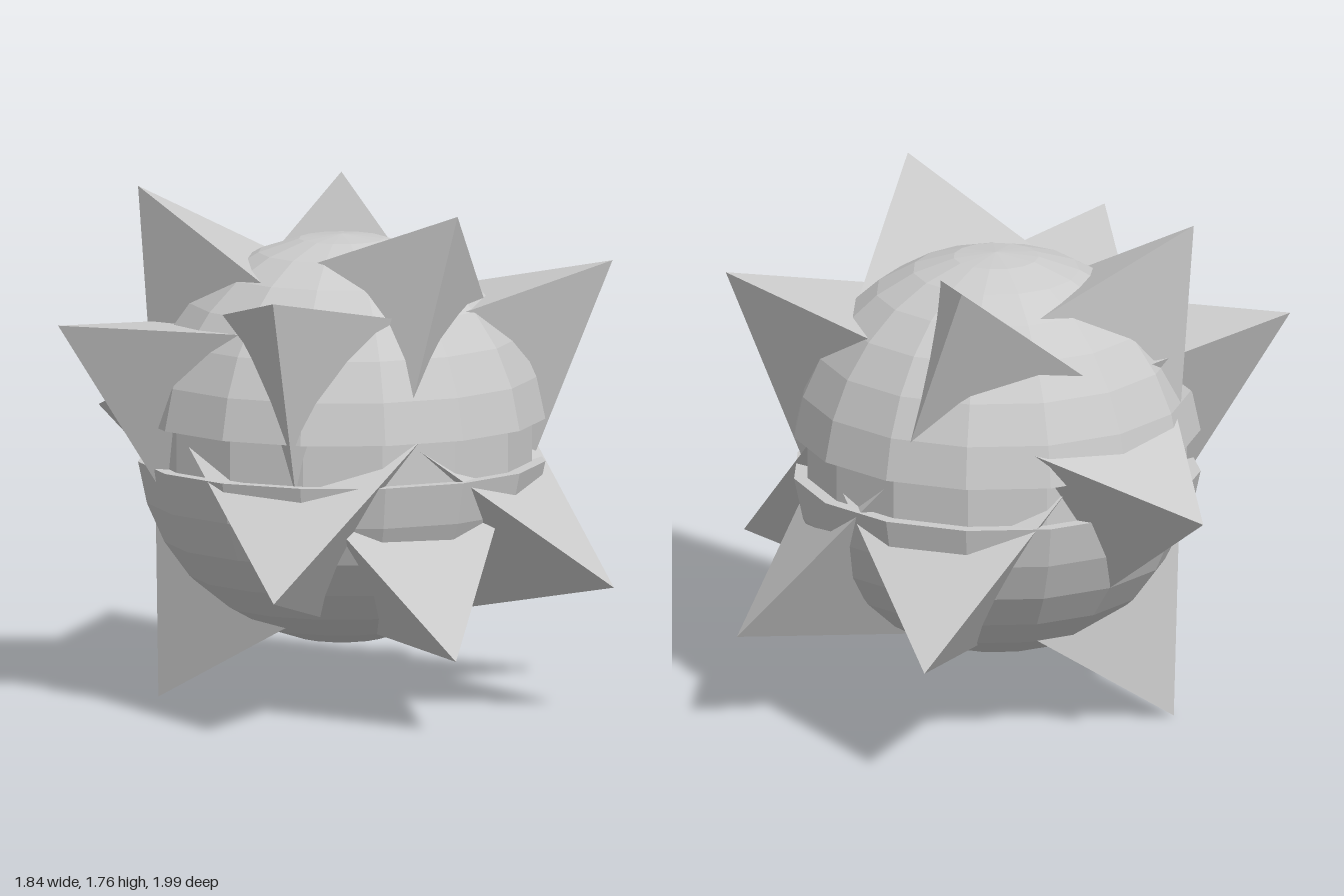
import * as THREE from 'three';

const CENTRE = new THREE.Vector3(0, 0.91, 0.1);
const R = 0.7, GROOVE_R = 0.65, REACH = 1.1, SIDES = 15;
const STEP = Math.PI / 15;

// Each spike: direction of its tip, then direction one of its three ridges leans
const SPIKES = [
  [[-0.46, 0.85, -0.52], [-0.164, -0.2, -0.19]],
  [[-0.10, 0.84, 0.69], [0.32, 0.02, 0]],
  [[0.51, 0.79, -0.56], [-0.03, 0.197, 0.25]],
  [[-0.77, 0.59, 0.50], [-0.16, -0.3, 0.11]],
  [[0.72, 0.60, 0.58], [0.15, -0.3, 0.12]],
  [[-0.92, 0.43, -0.42], [-0.05, 0.177, 0.29]],
  [[-0.83, -0.42, 0.57], [0.1, 0.175, 0.275]],
  [[-0.25, -0.65, 0.85], [0.05, -0.25, -0.175]],
  [[0.43, -0.46, 0.90], [-0.05, -0.31, -0.135]],
  [[0.92, -0.57, 0.21], [-0.152, -0.28, -0.095]],
  [[-0.41, -0.90, -0.47], [-0.215, 0.2, -0.17]],
  [[0.73, -0.50, -0.66], [-0.133, -0.3, 0.08]],
  [[-0.12, 0, -1.09], [0, -1, 0]],
];

export function createModel() {
  const group = new THREE.Group();
  group.name = 'spikedBall';
  const material = new THREE.MeshStandardMaterial({ color: 0xcccccc, flatShading: true });

  // Faceted ball: lower cap, recessed equator band, upper cap
  const profile = [];
  const arc = (i) => new THREE.Vector2(R * Math.sin(i * STEP), -R * Math.cos(i * STEP));
  for (let i = 0; i <= 7; i++) profile.push(arc(i));
  profile.push(new THREE.Vector2(GROOVE_R, arc(7).y), new THREE.Vector2(GROOVE_R, arc(8).y));
  for (let i = 8; i <= 15; i++) profile.push(arc(i));
  profile[0].x = profile[profile.length - 1].x = 0;
  const ball = new THREE.Mesh(new THREE.LatheGeometry(profile, SIDES, Math.PI / 2), material);
  ball.name = 'groovedBall';
  ball.position.copy(CENTRE);
  group.add(ball);

  // Regular tetrahedron spikes, tip at REACH from the ball's centre along +y
  const edge = 0.898, height = edge * Math.sqrt(2 / 3);
  const spikeGeometry = new THREE.ConeGeometry(edge / Math.sqrt(3), height, 3);
  spikeGeometry.translate(0, REACH - height / 2, 0);

  const spikes = new THREE.Group();
  spikes.name = 'spikes';
  spikes.position.copy(CENTRE);
  SPIKES.forEach(([tip, ridge], i) => {
    const y = new THREE.Vector3(...tip).normalize();
    const z = new THREE.Vector3(...ridge).projectOnPlane(y).normalize();
    const x = new THREE.Vector3().crossVectors(y, z);
    const spike = new THREE.Mesh(spikeGeometry, material);
    spike.name = `spike${i + 1}`;
    spike.quaternion.setFromRotationMatrix(new THREE.Matrix4().makeBasis(x, y, z));
    spikes.add(spike);
  });
  group.add(spikes);
  return group;
}
